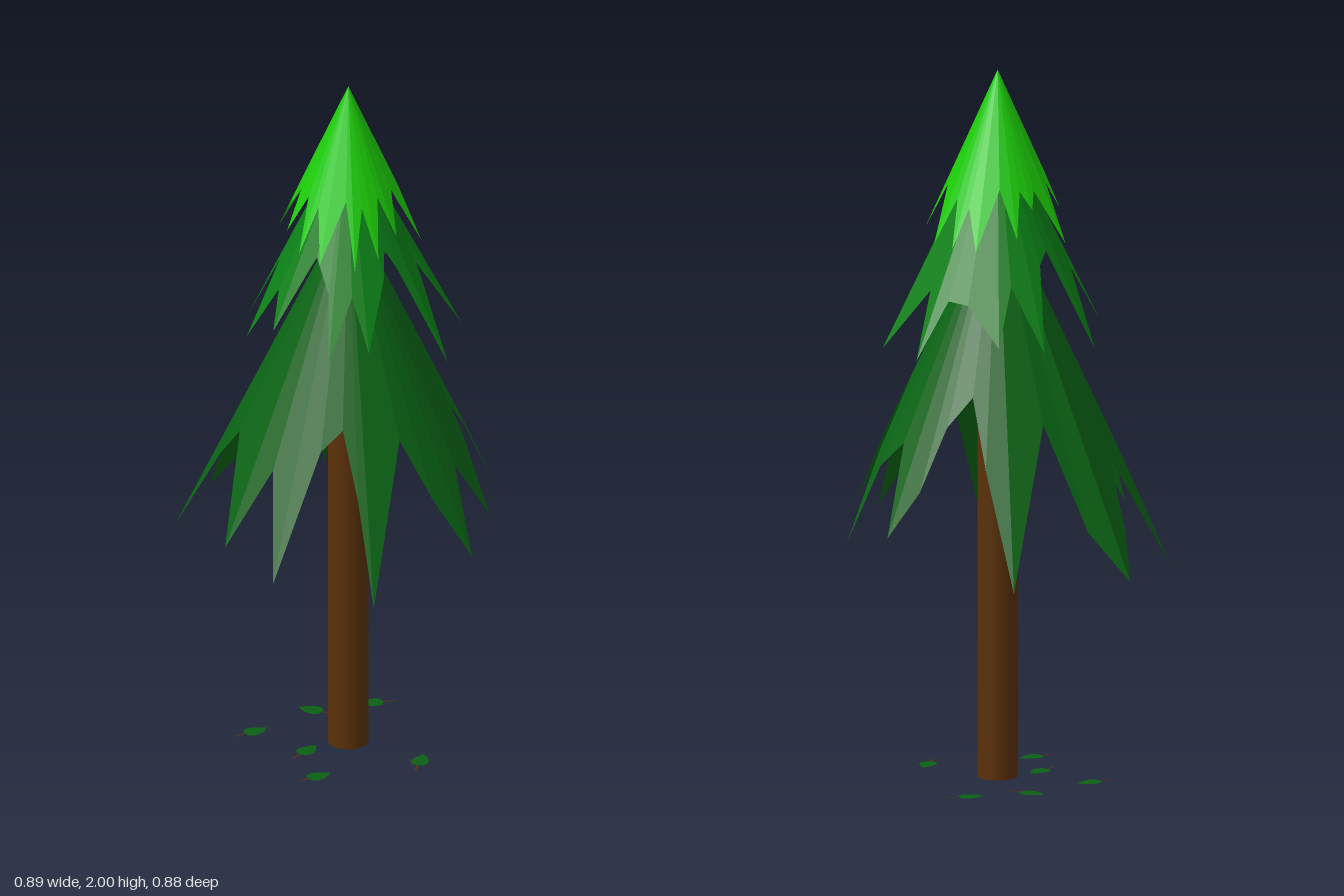
import * as THREE from 'three';

const AXIS = 0.033; // x of the trunk axis

function material(color) {
  return new THREE.MeshStandardMaterial({ color, side: THREE.DoubleSide });
}

// Jagged cone: a fan from the apex to a star outline given as x, z pairs;
// outline points lie on a cone of the given slope, no lower than hem.
function foliageTier(name, apex, slope, hem, color, outline) {
  const ring = [];
  for (let i = 0; i < outline.length; i += 2) {
    const x = outline[i], z = outline[i + 1];
    ring.push(new THREE.Vector3(x, Math.max(hem, apex - slope * Math.hypot(x - AXIS, z)), z));
  }
  const top = new THREE.Vector3(AXIS, apex, 0);
  const points = ring.flatMap((p, i) => [top, ring[(i + 1) % ring.length], p]);
  const geometry = new THREE.BufferGeometry().setFromPoints(points);
  geometry.computeVertexNormals();
  const mat = material(color);
  mat.flatShading = true;
  const mesh = new THREE.Mesh(geometry, mat);
  mesh.name = name;
  return mesh;
}

// Flat fallen leaf with a thin stem; the stem points along (dx, dz)
function fallenLeaf(x, z, dx, dz) {
  const leaf = new THREE.Group();
  leaf.name = 'fallenLeaf';
  const shape = new THREE.Shape();
  shape.moveTo(0.025, 0);
  shape.bezierCurveTo(0.03, 0.03, -0.01, 0.035, -0.045, 0);
  shape.bezierCurveTo(-0.01, -0.035, 0.03, -0.03, 0.025, 0);
  const blade = new THREE.Mesh(new THREE.ShapeGeometry(shape, 8).rotateX(-Math.PI / 2), material(0x0a6014));
  blade.name = 'leafBlade';
  const stem = new THREE.Mesh(new THREE.PlaneGeometry(0.035, 0.005).rotateX(-Math.PI / 2), material(0x5a3008));
  stem.name = 'leafStem';
  stem.position.x = 0.041;
  leaf.add(blade, stem);
  leaf.position.set(x, 0, z);
  leaf.rotation.y = Math.atan2(-dz, dx);
  return leaf;
}

export function createModel() {
  const tree = new THREE.Group();
  tree.name = 'pineTree';

  // Trunk
  const trunk = new THREE.Mesh(new THREE.CylinderGeometry(0.056, 0.056, 1.56, 32), material(0x5a3008));
  trunk.name = 'trunk';
  trunk.position.set(AXIS, 0.78, 0);
  tree.add(trunk);

  // Foliage, each outline running from back through +x, front and -x
  tree.add(foliageTier('lowerFoliage', 1.645, 2.16, 0.63, 0x0a6414, [
    -0.14, -0.44, -0.025, -0.32, 0.035, -0.24, 0.10, -0.27, 0.16, -0.335, 0.245, -0.36,
    0.235, -0.23, 0.31, -0.2, 0.39, -0.255, 0.33, -0.14, 0.26, -0.065, 0.35, -0.03,
    0.442, 0.04, 0.355, 0.09, 0.428, 0.19, 0.325, 0.212, 0.227, 0.205, 0.21, 0.437,
    0.14, 0.33, 0.08, 0.26, 0.025, 0.29, -0.075, 0.437, -0.11, 0.29, -0.235, 0.335,
    -0.24, 0.14, -0.305, 0.095, -0.445, 0.04, -0.295, -0.03, -0.365, -0.115, -0.41, -0.22,
    -0.295, -0.24, -0.155, -0.2,
  ]));
  tree.add(foliageTier('middleFoliage', 1.87, 2.06, 1.23, 0x0a8016, [
    -0.05, -0.275, 0.05, -0.235, 0.11, -0.22, 0.185, -0.28, 0.175, -0.175, 0.315, -0.165,
    0.25, -0.07, 0.2, -0.03, 0.24, 0.005, 0.335, 0.085, 0.19, 0.085, 0.155, 0.09,
    0.165, 0.13, 0.15, 0.245, 0.09, 0.195, 0.045, 0.285, 0.025, 0.2, -0.02, 0.15,
    -0.13, 0.205, -0.13, 0.14, -0.22, 0.14, -0.145, 0.06, -0.265, -0.065, -0.125, -0.07,
    -0.12, -0.11, -0.165, -0.22, -0.06, -0.19,
  ]));
  tree.add(foliageTier('upperFoliage', 2, 2.25, 1.53, 0x1ccc08, [
    0.035, -0.21, 0.07, -0.155, 0.107, -0.195, 0.11, -0.13, 0.17, -0.155, 0.155, -0.07,
    0.235, -0.02, 0.16, 0.025, 0.19, 0.085, 0.135, 0.08, 0.155, 0.155, 0.1, 0.12,
    0.1, 0.2, 0.057, 0.127, 0.0, 0.2, -0.02, 0.13, -0.065, 0.17, -0.055, 0.1,
    -0.115, 0.105, -0.085, 0.06, -0.13, 0.03, -0.095, 0.005, -0.175, -0.045, -0.09, -0.07,
    -0.095, -0.1, -0.06, -0.105, -0.07, -0.165, -0.01, -0.13,
  ]));

  // Fallen leaves around the trunk: x, z and stem direction
  [
    [-0.235, 0.005, -0.7, 0.7],
    [-0.065, 0.09, -0.4, 0.9],
    [0, 0.24, -0.7, 0.7],
    [0.045, -0.25, 0.8, -0.4],
    [0.255, 0.08, 0, 1],
    [-0.105, -0.165, 1, 0.2],
  ].forEach((leaf) => tree.add(fallenLeaf(...leaf)));

  return tree;
}
